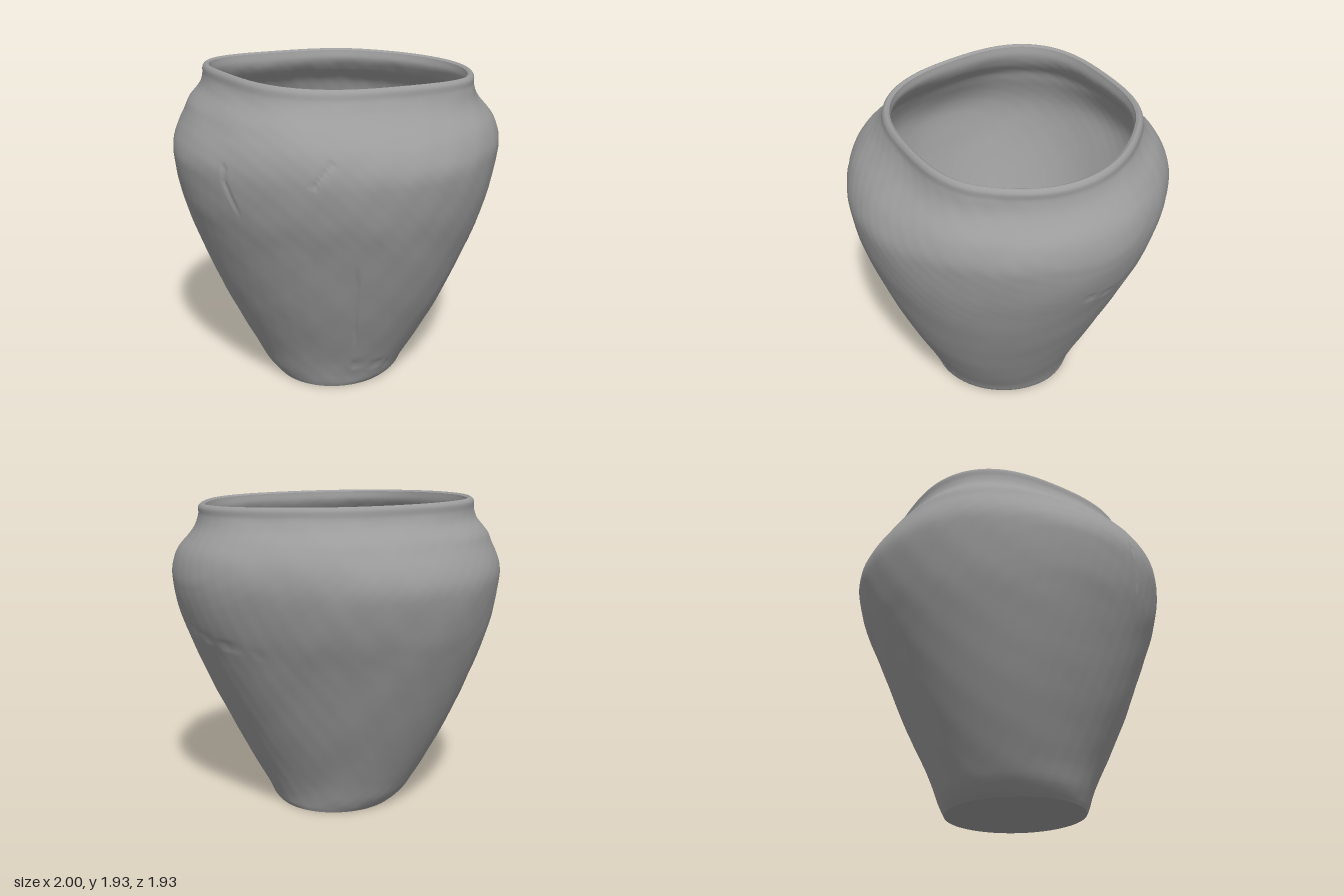
import * as THREE from 'three';

const { smoothstep, clamp } = THREE.MathUtils;

// Rings of each surface: [height, half width in x, half width in z]
const UNDERSIDE = [[0.012, 0, 0], [0, 0.38, 0.43]];
const OUTSIDE = [
  [0, 0.38, 0.43], [0.03, 0.413, 0.443], [0.2, 0.52, 0.503], [0.6, 0.73, 0.683],
  [1.0, 0.893, 0.84], [1.2, 0.955, 0.915], [1.4, 0.993, 0.959], [1.5, 0.997, 0.962],
  [1.6, 0.968, 0.94], [1.7, 0.908, 0.883], [1.79, 0.85, 0.803], [1.85, 0.835, 0.767],
  [1.895, 0.833, 0.757], [1.915, 0.812, 0.737], [1.905, 0.793, 0.715],
];
const INSIDE = [
  [1.905, 0.793, 0.715], [1.85, 0.783, 0.708], [1.77, 0.805, 0.75], [1.65, 0.875, 0.85],
  [1.45, 0.928, 0.89], [1.2, 0.885, 0.845], [0.6, 0.65, 0.605], [0.38, 0.525, 0.49],
  [0.22, 0.385, 0.365], [0.15, 0.225, 0.22], [0.13, 0, 0],
];

// Cracks as short paths on the front (x, y), the +x side (z, y) and the inner floor (x, z)
const CRACKS = {
  front: [
    [[-0.4, 1.49], [-0.4, 1.4], [-0.33, 1.25]],
    [[0.22, 1.56], [0.13, 1.43]],
    [[0.33, 0.87], [0.27, 0.4]],
  ],
  side: [[[-0.6, 1.18], [-0.83, 1.1]], [[0.47, 0.17], [0.28, 0.12]]],
  floor: [[[-0.3, -0.3], [-0.27, 0.2], [-0.13, 0.55], [0.2, 0.4]]],
};

// Depth of the groove at a point near any of the paths
function groove(paths, u, v) {
  let nearest = 1;
  for (const path of paths) {
    for (let i = 1; i < path.length; i++) {
      const [a, b] = path[i - 1], dx = path[i][0] - a, dy = path[i][1] - b;
      const t = clamp(((u - a) * dx + (v - b) * dy) / (dx * dx + dy * dy), 0, 1);
      nearest = Math.min(nearest, Math.hypot(u - a - dx * t, v - b - dy * t));
    }
  }
  return -0.012 * Math.max(0, 1 - nearest / 0.014);
}

// Gentle hand-worked unevenness
const lumps = (x, y, z) =>
  0.003 * Math.sin(7 * x + 3 * y) * Math.sin(6 * z - 5 * y + 1) +
  0.0015 * Math.sin(19 * x - 11 * z + 2) * Math.sin(17 * y + 9 * z) +
  0.0007 * Math.sin(47 * x + 23 * y) * Math.sin(41 * z - 37 * y);

// Point on the wall: the pot leans back as it rises and its mouth is out of round
function wallPoint(y, rx, rz, angle) {
  const c = Math.cos(angle), s = Math.sin(angle);
  const backLeft = c > 0 && s < 0;
  const bulge = backLeft ? 0.045 * smoothstep(y, 0.3, 1.4) : -0.085 * smoothstep(y, 1.4, 1.85);
  const k = 1 + bulge * Math.sin(2 * angle) ** 2;
  const dip = smoothstep(y, 1.7, 1.9) * (-0.016 * c + 0.006 * s + 0.004 * Math.sin(3 * angle) - 0.008);
  const centreX = 0.015 * (1 - smoothstep(y, 0, 0.1)) - 0.02 * Math.exp(-(((y - 1.72) / 0.06) ** 2));
  const centreZ = 0.04 - 0.018 * y * y;
  return [centreX + rx * c * k, y + dip, centreZ + rz * s * k];
}

// Smooth curve through the rings, skinned into one surface
function skin(rings, rows, relief) {
  const segments = 360, position = [], index = [];
  const profile = new THREE.CatmullRomCurve3(rings.map((r) => new THREE.Vector3(...r)));
  for (let r = 0; r <= rows; r++) {
    const { x: y, y: rx, z: rz } = profile.getPoint(r / rows);
    for (let s = 0; s < segments; s++) {
      position.push(...wallPoint(y, rx, rz, (s / segments) * Math.PI * 2));
      if (r < rows) {
        const a = r * segments + s, b = r * segments + ((s + 1) % segments);
        index.push(a, a + segments, b + segments, a, b + segments, b);
      }
    }
  }
  const geometry = new THREE.BufferGeometry();
  geometry.setAttribute('position', new THREE.Float32BufferAttribute(position, 3));
  geometry.setIndex(index);
  geometry.computeVertexNormals();
  // Push the surface in or out, fading where two surfaces meet
  const p = geometry.attributes.position, n = geometry.attributes.normal;
  for (let i = 0; i < p.count; i++) {
    const x = p.getX(i), y = p.getY(i), z = p.getZ(i);
    const h = relief(x, y, z) * smoothstep(y, 0, 0.06) * (1 - smoothstep(y, 1.8, 1.87));
    p.setXYZ(i, x + n.getX(i) * h, y + n.getY(i) * h, z + n.getZ(i) * h);
  }
  geometry.computeVertexNormals();
  return geometry;
}

export function createModel() {
  const model = new THREE.Group();
  model.name = 'clayPot';
  const clay = new THREE.MeshStandardMaterial({ color: 0x9c9c9c });
  clay.name = 'grey clay';

  const add = (name, geometry) => {
    const mesh = new THREE.Mesh(geometry, clay);
    mesh.name = name;
    model.add(mesh);
  };

  add('underside', skin(UNDERSIDE, 6, lumps));
  add('outerWallAndRim', skin(OUTSIDE, 98, (x, y, z) =>
    lumps(x, y, z)
    + (z > 0.1 ? groove(CRACKS.front, x, y) : 0)
    + (x > 0.1 ? groove(CRACKS.side, z, y) : 0)));
  add('innerWallAndFloor', skin(INSIDE, 80, (x, y, z) =>
    lumps(x, y, z) + (y < 0.9 ? groove(CRACKS.floor, x, z) : 0)));
  return model;
}
